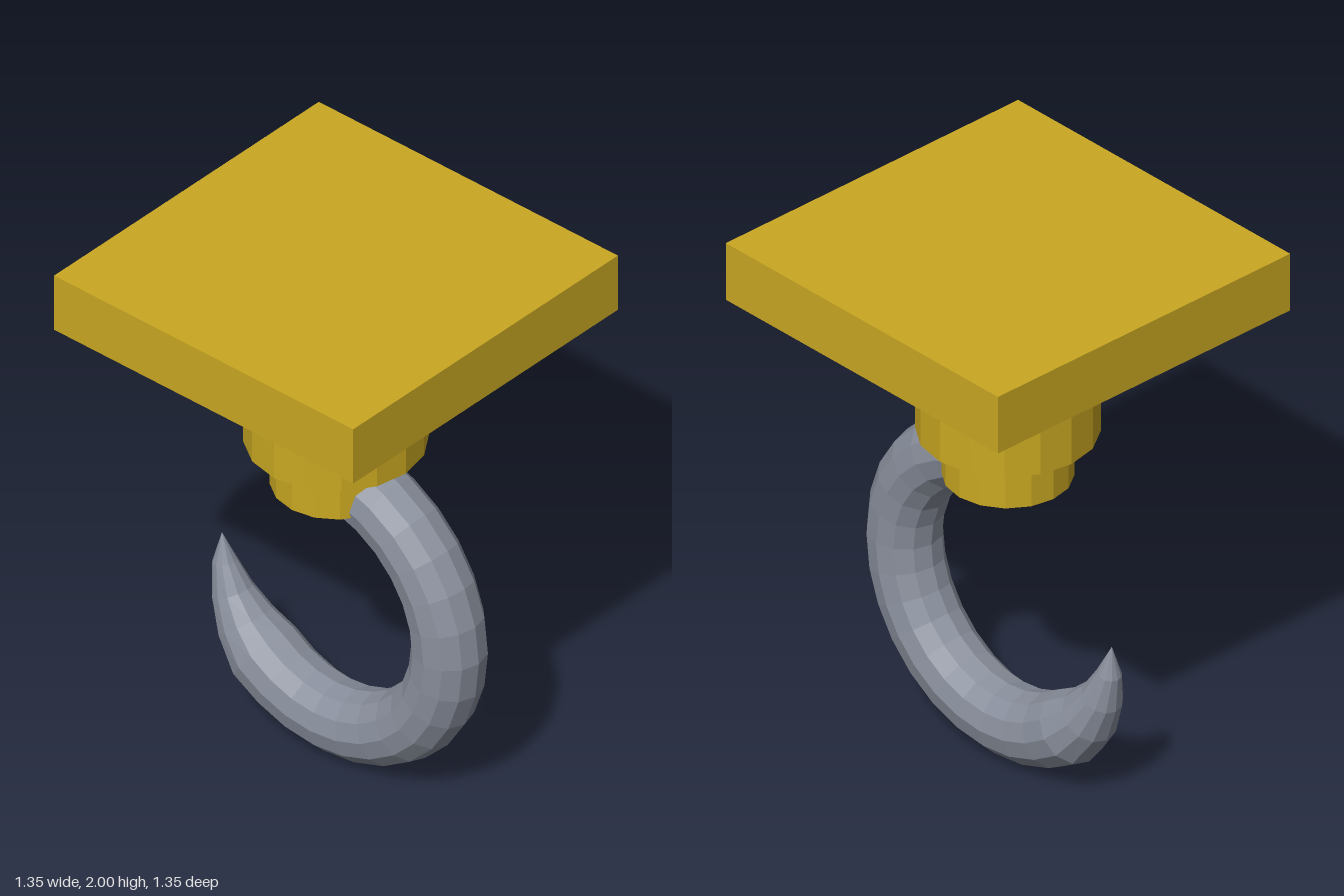
import * as THREE from 'three';

const brass = new THREE.MeshStandardMaterial({ color: 0xc9a722, flatShading: true });
brass.name = 'yellow paint';
const steel = new THREE.MeshStandardMaterial({ color: 0x888e9b, flatShading: true });
steel.name = 'grey steel';

function addPart(group, name, geometry, material, y) {
  const mesh = new THREE.Mesh(geometry, material);
  mesh.name = name;
  mesh.position.y = y;
  group.add(mesh);
}

// Upright 16-sided drum between two heights
function addDrum(group, name, radius, bottom, top) {
  const geometry = new THREE.CylinderGeometry(radius, radius, top - bottom, 16);
  addPart(group, name, geometry, brass, (bottom + top) / 2);
}

// Hook: round sections, each spanning an outer and an inner point of the curve
function hookGeometry() {
  const centreY = 0.65, outer = 0.645, inner = 0.38, sides = 12;
  const sections = [];
  // Constant arc, clockwise from near the top to past the bottom
  for (let i = 1; i <= 16; i++) {
    const a = Math.PI / 2 - (i * Math.PI) / 14;
    const c = Math.cos(a), s = Math.sin(a);
    sections.push([outer * c, centreY + outer * s, inner * c, centreY + inner * s]);
  }
  // Taper towards the tip
  sections.push(
    [-0.402, 0.142, -0.24, 0.355],
    [-0.49, 0.267, -0.325, 0.4],
    [-0.535, 0.4, -0.4, 0.465],
    [-0.545, 0.53, -0.46, 0.55]
  );

  const positions = [], index = [];
  for (const [ox, oy, ix, iy] of sections) {
    const mx = (ox + ix) / 2, my = (oy + iy) / 2;
    const half = Math.hypot(ox - ix, oy - iy) / 2;
    for (let j = 0; j < sides; j++) {
      const p = (j / sides) * Math.PI * 2;
      positions.push(
        mx + ((ox - ix) / 2) * Math.cos(p),
        my + ((oy - iy) / 2) * Math.cos(p),
        half * Math.sin(p)
      );
    }
  }
  const last = (sections.length - 1) * sides;
  const tip = sections.length * sides, start = tip + 1;
  const [ox, oy, ix, iy] = sections[0];
  positions.push(-0.515, 0.65, 0, (ox + ix) / 2, (oy + iy) / 2, 0);

  for (let j = 0; j < sides; j++) {
    const k = (j + 1) % sides;
    for (let r = 0; r < last; r += sides) {
      const a = r + j, b = a + sides, c = r + k, d = c + sides;
      index.push(a, c, b, b, c, d);
    }
    index.push(last + j, last + k, tip); // point
    index.push(start, k, j); // blunt upper end
  }
  const geometry = new THREE.BufferGeometry();
  geometry.setAttribute('position', new THREE.Float32BufferAttribute(positions, 3));
  geometry.setIndex(index);
  geometry.computeVertexNormals();
  return geometry;
}

export function createModel() {
  const model = new THREE.Group();
  model.name = 'ceilingHook';

  // Mounting
  addPart(model, 'mountingPlate', new THREE.BoxGeometry(1.35, 0.225, 1.35), brass, 1.8875);
  addDrum(model, 'neck', 0.245, 1.55, 1.776);
  addDrum(model, 'upperCollar', 0.315, 1.285, 1.55);

  // Swivel
  addPart(model, 'swivelBall', new THREE.SphereGeometry(0.2, 12, 8), steel, 1.22);
  addDrum(model, 'lowerCollar', 0.225, 1.105, 1.24);

  addPart(model, 'hook', hookGeometry(), steel, 0);
  return model;
}
